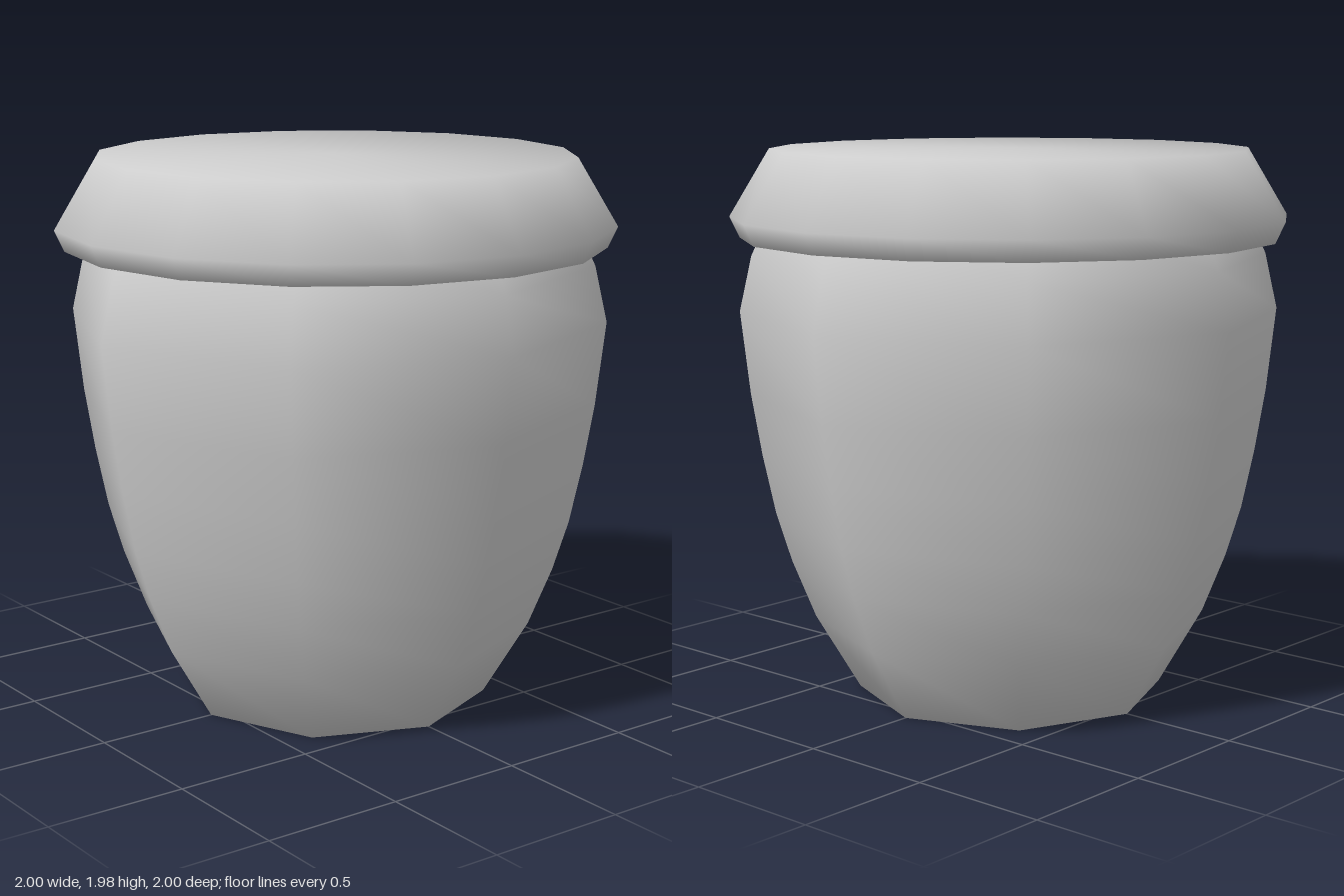
import * as THREE from 'three';

// Turned solid with few sides, shaded smoothly across every edge of the profile.
// The profile runs from the bottom up, outer surface on the right.
function turned(name, profile, sides, material) {
  const points = profile.map(([r, y]) => new THREE.Vector2(r, y));
  const geometry = new THREE.LatheGeometry(points, sides);

  // Unit normal of each profile segment, then an even blend at each point
  const segment = points.slice(1).map((p, i) => {
    const d = p.clone().sub(points[i]).normalize();
    return new THREE.Vector2(d.y, -d.x);
  });
  const blended = points.map((_, i) => {
    const before = segment[Math.max(i - 1, 0)];
    const after = segment[Math.min(i, segment.length - 1)];
    return before.clone().add(after).normalize();
  });

  const normal = geometry.attributes.normal;
  for (let i = 0; i <= sides; i++) {
    const a = (i / sides) * Math.PI * 2;
    blended.forEach((n, j) =>
      normal.setXYZ(i * points.length + j, n.x * Math.sin(a), n.y, n.x * Math.cos(a)));
  }

  const mesh = new THREE.Mesh(geometry, material);
  mesh.name = name;
  return mesh;
}

export function createModel() {
  const group = new THREE.Group();
  group.name = 'liddedPot';

  const clay = new THREE.MeshStandardMaterial({ color: 0xcccccc });
  clay.name = 'pale grey';

  // Eight-sided bulging body with a flat base, closed under the lid
  group.add(turned('body', [
    [0, 0], [0.556, 0], [0.716, 0.27], [0.8, 0.48], [0.855, 0.66], [0.9, 0.875],
    [0.937, 1.1], [0.97, 1.4], [0.925, 1.6], [0.83, 1.8], [0, 1.8],
  ], 8, clay));

  // Sixteen-sided lid: hollow underside, narrow lip, sloping edge and flat top
  group.add(turned('lid', [
    [0, 1.92], [0.8, 1.92], [0.93, 1.72], [0.91, 1.665], [0.965, 1.665],
    [1, 1.74], [0.855, 1.98], [0, 1.98],
  ], 16, clay));

  return group;
}
